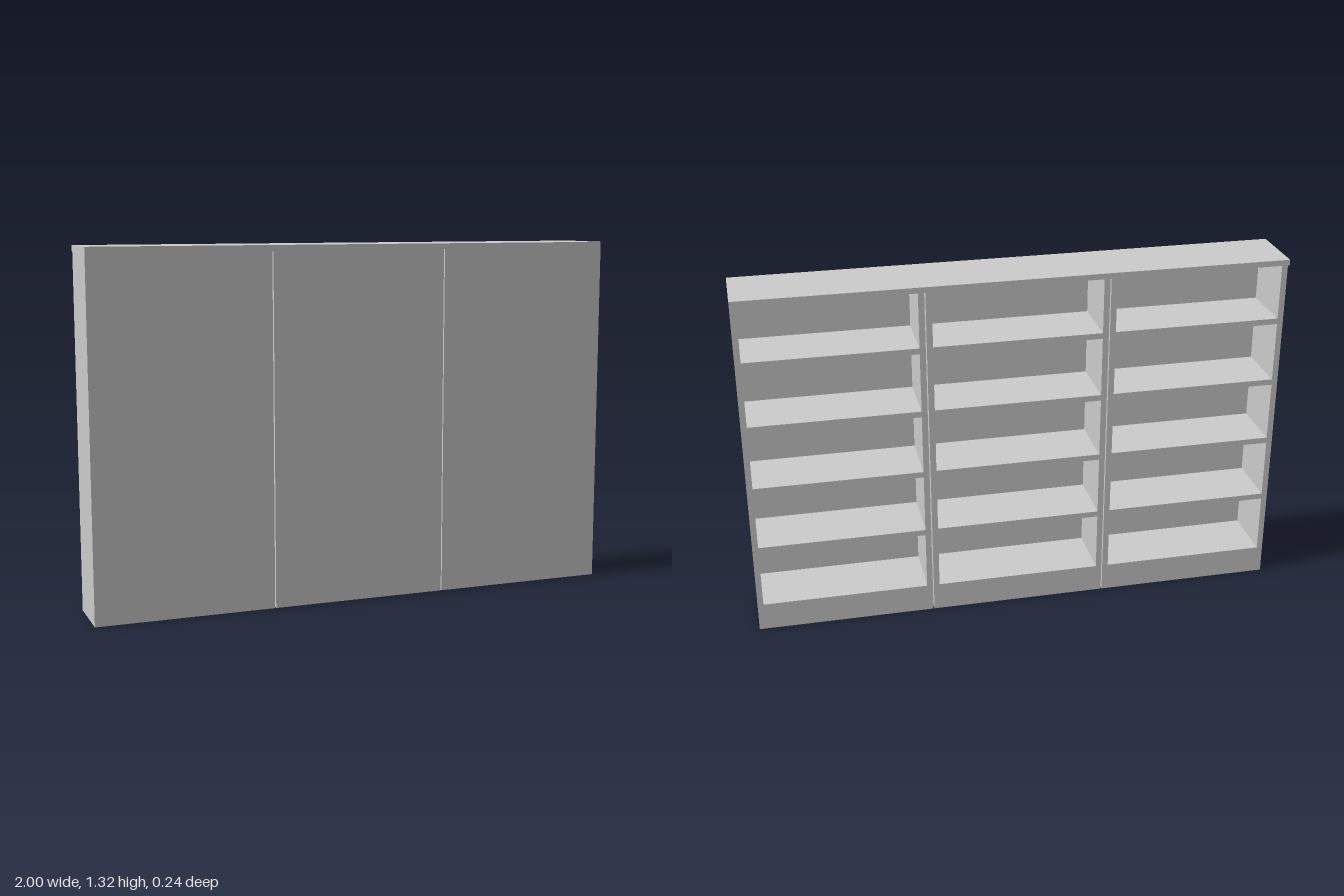
import * as THREE from 'three';

export function createModel() {
  const model = new THREE.Group();
  model.name = 'bookcaseWall';
  const material = new THREE.MeshStandardMaterial({ color: 0xcccccc, flatShading: true });

  // Box given by its lower and upper limits on each axis
  const addBox = (parent, name, [x0, x1], [y0, y1], [z0, z1]) => {
    const mesh = new THREE.Mesh(new THREE.BoxGeometry(x1 - x0, y1 - y0, z1 - z0), material);
    mesh.position.set((x0 + x1) / 2, (y0 + y1) / 2, (z0 + z1) / 2);
    mesh.name = name;
    parent.add(mesh);
  };

  const gap = 0.004;                  // slit between neighbouring units
  const width = (2 - 2 * gap) / 3;    // one unit
  const half = width / 2;
  const board = 0.022;
  const panel = 0.006;
  const plinthTop = 0.107;
  const bodyTop = 1.302;
  const top = 1.323;
  const pitch = 0.246;
  const zOpen = -0.106, zPanel = 0.121;
  const zInner = zPanel - panel;
  const inner = [-half + board, half - board];

  // Three equal units, open towards -z
  for (let i = -1; i <= 1; i++) {
    const unit = new THREE.Group();
    unit.name = 'shelfUnit';
    unit.position.x = i * (width + gap);
    addBox(unit, 'backPanel', inner, [0, bodyTop], [zInner, zPanel]);
    addBox(unit, 'sidePanel', [-half, inner[0]], [0, bodyTop], [zOpen, zPanel]);
    addBox(unit, 'sidePanel', [inner[1], half], [0, bodyTop], [zOpen, zPanel]);
    addBox(unit, 'plinth', inner, [0, plinthTop], [zOpen, zInner]);
    for (let s = 1; s <= 4; s++) {
      const y = plinthTop + s * pitch;
      addBox(unit, 'shelf', inner, [y - board, y], [zOpen, zInner]);
    }
    model.add(unit);
  }

  // One top board across all units, overhanging the open side
  addBox(model, 'topBoard', [-1, 1], [bodyTop, top], [-0.121, zPanel]);
  return model;
}
